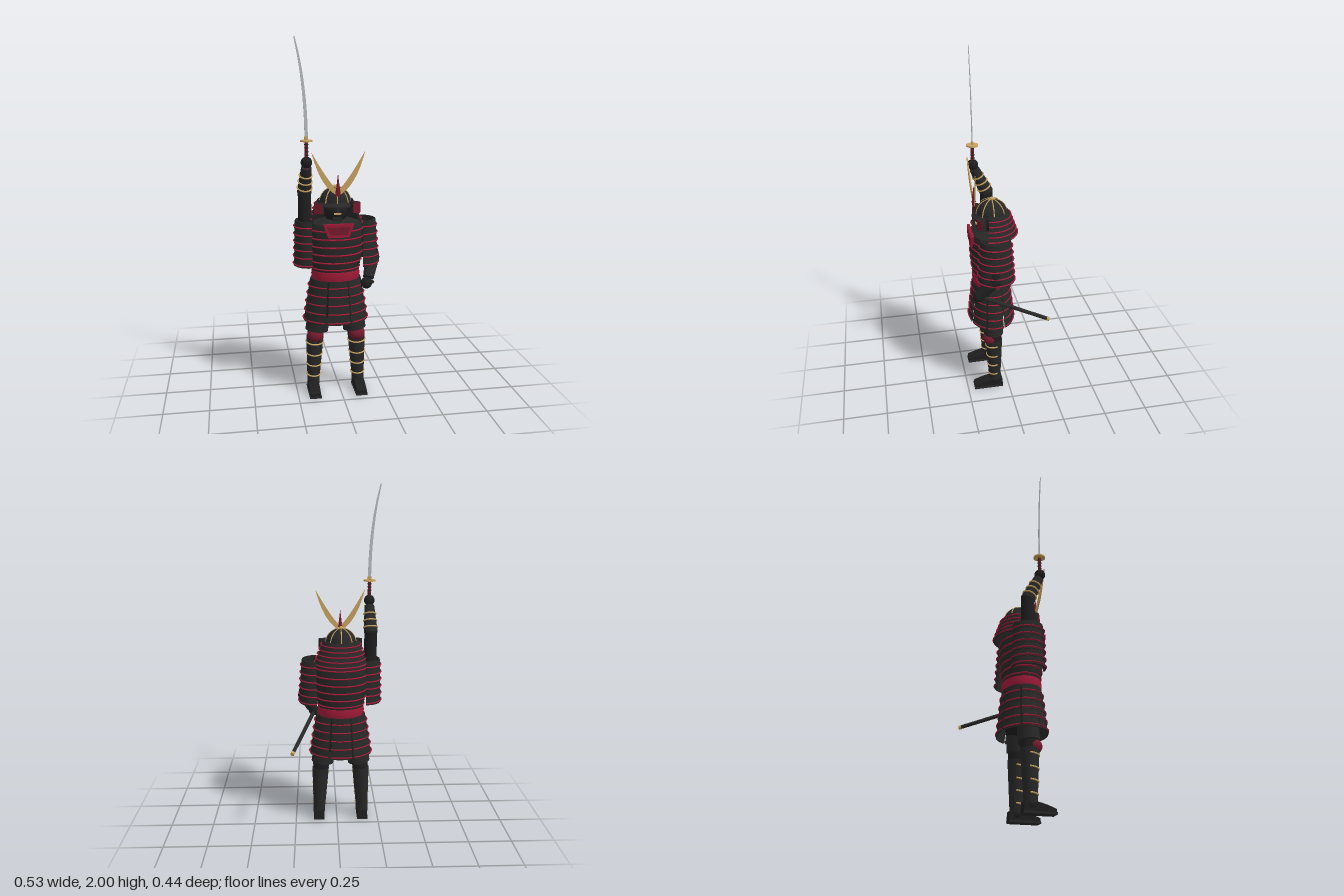
import * as THREE from 'three';
import { toCreasedNormals } from 'three/addons/utils/BufferGeometryUtils.js';

const V = (x, y, z) => new THREE.Vector3(x, y, z);
const UP = V(0, 1, 0);

export function createModel() {
  const mat = (name, color, side = THREE.DoubleSide) => new THREE.MeshStandardMaterial({ name, color, side });
  const black = mat('lacquer black', 0x272727);
  const dark = mat('cloth black', 0x1e1e1e);
  const red = mat('lacing red', 0x9c1a36);
  const deepRed = mat('deep red', 0x741a2c);
  const gold = mat('gold', 0xc9a35f);
  const steel = mat('steel', 0xb9bdc1);

  const model = new THREE.Group();
  const body = new THREE.Group();
  body.name = 'body';
  body.position.x = -0.023;
  model.add(body);

  const add = (parent, name, geo, material, x = 0, y = 0, z = 0) => {
    const m = new THREE.Mesh(geo, material);
    m.name = name;
    m.position.set(x, y, z);
    parent.add(m);
    return m;
  };
  const box = (w, h, d) => new THREE.BoxGeometry(w, h, d);

  // Turned profile, [radius, height] pairs, squashed to an ellipse
  const turned = (pts, sx = 1, sz = 1, start = 0, len = Math.PI * 2, seg = 40) => {
    const g = new THREE.LatheGeometry(pts.map(p => new THREE.Vector2(...p)), seg, start, len);
    g.scale(sx, 1, sz);
    return toCreasedNormals(g, 0.7);
  };
  const cord = (r, y, t, sx, sz, start, len) => turned(
    [[r - t, y], [r, y - t], [r + t, y], [r, y + t], [r - t, y]], sx, sz, start, len);

  // Overlapping lamellar rows, each edged with a lacing cord
  function tiers(parent, name, o) {
    const g = new THREE.Group();
    g.name = name;
    g.position.set(o.x || 0, 0, o.z || 0);
    const { sx = 1, sz = 1, start = 0, len = Math.PI * 2, t = 0.008 } = o;
    const h = (o.top - o.bottom) / o.rows;
    for (let i = 0; i < o.rows; i++) {
      const yt = o.top - i * h, yb = yt - h * 1.02;
      const at = k => o.r0 + (o.r1 - o.r0) * k / o.rows;
      const a = at(i) - 0.002, b = at(i + 1) + 0.002;
      add(g, name + 'Row', turned([[b - t, yb], [b, yb], [a, yt], [a - t, yt], [b - t, yb]], sx, sz, start, len), black);
      add(g, name + 'Lacing', cord(b + 0.001, yb + h * 0.25, 0.0045, sx, sz, start, len), red);
    }
    parent.add(g);
    return g;
  }

  // Tapered limb between two points
  function limb(parent, name, a, b, ra, rb, material) {
    const d = b.clone().sub(a);
    const m = add(parent, name, new THREE.CylinderGeometry(rb, ra, d.length(), 20), material);
    m.position.copy(a).addScaledVector(d, 0.5);
    m.quaternion.setFromUnitVectors(UP, d.normalize());
    return m;
  }
  const ball = (parent, name, p, r, material) =>
    add(parent, name, new THREE.SphereGeometry(r, 20, 14), material, p.x, p.y, p.z);
  const band = (limbMesh, y, r, arc = Math.PI * 2) => {
    const g = new THREE.TorusGeometry(r, 0.0045, 8, 28, arc);
    g.rotateX(Math.PI / 2);
    g.rotateY((arc - Math.PI) / 2);
    return add(limbMesh, 'goldBand', g, gold, 0, y, 0);
  };

  // Cuirass and sash
  add(body, 'cuirass', turned([[0.132, 0.72], [0.143, 0.78], [0.153, 0.87], [0.153, 0.97], [0.14, 1.0], [0.08, 1.02], [0, 1.03]], 1, 0.77), black, 0, 0, 0.08);
  [[0.137, 0.745], [0.145, 0.785], [0.15, 0.83], [0.154, 0.875], [0.154, 0.92], [0.154, 0.965]].forEach(([r, y]) =>
    add(body, 'cuirassLacing', cord(r, y, 0.005, 1, 0.77), red, 0, 0, 0.08));
  add(body, 'sash', turned([[0.12, 0.675], [0.134, 0.68], [0.138, 0.705], [0.134, 0.73], [0.12, 0.735]], 1, 0.79), red, 0, 0, 0.08);
  add(body, 'hips', turned([[0, 0.44], [0.12, 0.46], [0.13, 0.6], [0.125, 0.69]], 1, 0.72), dark, 0, 0, 0.08);

  // Eight hanging skirt panels
  for (let i = 0; i < 8; i++) {
    const w = Math.PI / 4;
    tiers(body, 'skirtPanel', { z: 0.08, r0: 0.145, r1: 0.182, top: 0.68, bottom: 0.435, rows: 5, sz: 0.74, start: (i - 0.45) * w, len: w * 0.9 });
  }

  // Throat plate
  const plate = (w0, w1, y0, y1, depth) => new THREE.ExtrudeGeometry(new THREE.Shape(
    [[-w0, y1], [-w1, y0], [w1, y0], [w0, y1]].map(p => new THREE.Vector2(...p))), { depth, bevelEnabled: false });
  add(body, 'throatPlate', plate(0.085, 0.058, 0.935, 1.01, 0.016), red, 0, 0, 0.185);
  add(body, 'throatPlateInset', plate(0.066, 0.045, 0.95, 0.995, 0.004), deepRed, 0, 0, 0.2);

  // Head and face mask
  add(body, 'neck', new THREE.CylinderGeometry(0.05, 0.06, 0.1, 20), dark, 0, 1.03, 0.09);
  ball(body, 'faceMask', V(0, 1.07, 0.085), 0.075, dark).scale.set(0.92, 1, 1);
  add(body, 'maskNose', new THREE.ConeGeometry(0.012, 0.035, 4), black, 0, 1.085, 0.16);
  add(body, 'maskMouth', box(0.042, 0.009, 0.008), gold, 0, 1.06, 0.161);
  add(body, 'maskChin', box(0.05, 0.03, 0.04), black, 0, 1.025, 0.135);

  // Helmet bowl, ribs and visor
  const R = 0.087, HY = 1.11, HZ = 0.07;
  add(body, 'helmetBowl', new THREE.SphereGeometry(R, 40, 16, 0, Math.PI * 2, 0, Math.PI / 2), black, 0, HY, HZ);
  for (let i = 0; i < 4; i++) {
    add(body, 'helmetRib', new THREE.TorusGeometry(R, 0.0035, 6, 32, Math.PI), gold, 0, HY, HZ).rotation.y = i * Math.PI / 4;
  }
  ball(body, 'helmetFinial', V(0, HY + R, HZ), 0.011, gold);
  add(body, 'helmetRim', cord(R, HY, 0.005), black, 0, 0, HZ);
  add(body, 'visor', turned([[0.085, 1.118], [0.113, 1.1], [0.113, 1.094], [0.085, 1.11]], 0.95, 1, -1, 2), black, 0, 0, HZ);

  // Neck guard round the back
  tiers(body, 'neckGuard', { z: HZ, r0: 0.096, r1: 0.143, top: 1.125, bottom: 0.99, rows: 5, sx: 1.06, start: Math.PI * 0.4, len: Math.PI * 1.2 });

  for (const s of [-1, 1]) {
    // Turned-back helmet flap
    const flap = add(body, 'helmetFlap', box(0.05, 0.06, 0.025), black, s * 0.1, 1.09, 0.142);
    flap.rotation.y = s * 0.45;
    add(flap, 'helmetFlapFace', box(0.046, 0.056, 0.006), deepRed, 0, 0, 0.014);

    // Helmet horn
    const horn = new THREE.Shape();
    horn.moveTo(s * 0.008, 1.165);
    horn.quadraticCurveTo(s * 0.097, 1.215, s * 0.144, 1.4);
    horn.quadraticCurveTo(s * 0.063, 1.255, s * 0.008, 1.195);
    const hg = new THREE.ExtrudeGeometry(horn, { depth: 0.006, bevelEnabled: false, curveSegments: 16 });
    const p = hg.attributes.position;
    for (let i = 0; i < p.count; i++) p.setZ(i, p.getZ(i) + 0.164 + Math.abs(p.getX(i)) * 0.1);
    add(body, 'helmetHorn', hg, gold);

    // Shoulder guard
    tiers(body, 'shoulderGuard', {
      x: s * 0.152, z: 0.075, r0: 0.076, r1: s > 0 ? 0.092 : 0.082, top: 1.015, bottom: 0.76, rows: 6, sz: 1.13,
      start: s * Math.PI / 2 - 1.7, len: 3.4,
    });

    // Leg: thigh guard, knee, shin guard, foot
    limb(body, 'thighGuard', V(s * 0.11, 0.37, 0.085), V(s * 0.08, 0.6, 0.085), 0.066, 0.062, black).scale.z = 0.88;
    limb(body, 'kneeCloth', V(s * 0.12, 0.31, 0.085), V(s * 0.115, 0.39, 0.085), 0.046, 0.048, dark);
    ball(body, 'kneeGuard', V(s * 0.12, 0.345, 0.105), 0.047, deepRed).scale.y = 0.9;
    const shin = limb(body, 'shinGuard', V(s * 0.132, 0.04, 0.083), V(s * 0.121, 0.33, 0.085), 0.034, 0.05, black);
    [0.115, 0.045, -0.02, -0.085].forEach(y => {
      const b = band(shin, y, 0.0425 + y * 0.055, 3.7);
      b.rotation.x = 0.12;
    });
    ball(body, 'ankle', V(s * 0.132, 0.045, 0.083), 0.036, dark);
    const foot = new THREE.Shape();
    foot.moveTo(0.04, 0.01);
    foot.lineTo(0.205, 0.01);
    foot.lineTo(0.205, 0.026);
    foot.quadraticCurveTo(0.16, 0.045, 0.115, 0.055);
    foot.lineTo(0.045, 0.055);
    const fg = new THREE.ExtrudeGeometry(foot, { depth: 0.048, bevelEnabled: true, bevelSize: 0.004, bevelThickness: 0.006, bevelSegments: 2 });
    fg.translate(0, 0, -0.024);
    fg.rotateY(-Math.PI / 2);
    add(body, 'foot', fg, dark, s * 0.133, 0, 0);
    add(body, 'sandalSole', box(0.066, 0.012, 0.172), black, s * 0.133, 0.006, 0.125);
  }

  // Front crest
  add(body, 'crestBase', box(0.026, 0.03, 0.014), deepRed, 0, 1.175, 0.17);
  add(body, 'crestSpike', new THREE.ConeGeometry(0.012, 0.1, 8), deepRed, 0, 1.235, 0.17);

  // Raised right arm
  const elbowR = V(-0.195, 1.17, 0.07), wristR = V(-0.19, 1.315, 0.138);
  limb(model, 'rightUpperArm', V(-0.19, 0.9, 0.075), elbowR, 0.04, 0.036, dark);
  ball(model, 'rightElbow', elbowR, 0.037, dark);
  const guardR = limb(model, 'rightForearmGuard', elbowR, wristR, 0.04, 0.028, black);
  [-0.05, -0.01, 0.03].forEach(y => band(guardR, y, 0.036 - y * 0.075));
  ball(model, 'rightHand', V(-0.19, 1.343, 0.147), 0.031, dark);

  // Drawn sword
  const sword = new THREE.Group();
  sword.name = 'sword';
  sword.position.set(-0.19, 0, 0.147);
  model.add(sword);
  add(sword, 'swordGrip', new THREE.CylinderGeometry(0.0095, 0.0095, 0.17, 12), deepRed, 0, 1.375, 0);
  for (let i = 0; i < 4; i++) add(sword, 'gripWrap', new THREE.CylinderGeometry(0.0108, 0.0108, 0.007, 12), black, 0, 1.382 + i * 0.019, 0);
  add(sword, 'handGuard', new THREE.CylinderGeometry(0.034, 0.034, 0.008, 28), gold, 0, 1.458, 0);
  add(sword, 'bladeCollar', box(0.02, 0.022, 0.01), gold, 0, 1.47, 0);
  const blade = new THREE.Shape();
  blade.moveTo(0.009, 1.465);
  blade.quadraticCurveTo(0.008, 1.77, -0.057, 2.0);
  blade.lineTo(-0.06, 1.985);
  blade.quadraticCurveTo(-0.01, 1.76, -0.009, 1.465);
  add(sword, 'blade', new THREE.ExtrudeGeometry(blade, { depth: 0.004, bevelEnabled: false, curveSegments: 20 }), steel, 0, 0, -0.002);

  // Lowered left arm
  const elbowL = V(0.188, 0.79, 0.09), wristL = V(0.15, 0.69, 0.165);
  limb(model, 'leftUpperArm', V(0.145, 0.97, 0.075), elbowL, 0.042, 0.04, dark);
  ball(model, 'leftElbow', elbowL, 0.04, dark);
  limb(model, 'leftForearmGuard', elbowL, wristL, 0.04, 0.03, black);
  ball(model, 'leftHand', V(0.136, 0.665, 0.178), 0.032, dark);

  // Scabbard at the hip
  const mouth = V(0.129, 0.667, 0.185), tip = V(0.257, 0.541, -0.208);
  limb(model, 'scabbard', mouth, tip, 0.0115, 0.0105, black);
  limb(model, 'scabbardTip', tip.clone().lerp(mouth, 0.03), tip.clone().lerp(mouth, -0.006), 0.012, 0.011, gold);
  limb(model, 'scabbardMouth', mouth.clone().lerp(tip, 0.03), mouth, 0.0125, 0.0125, gold);

  return model;
}
